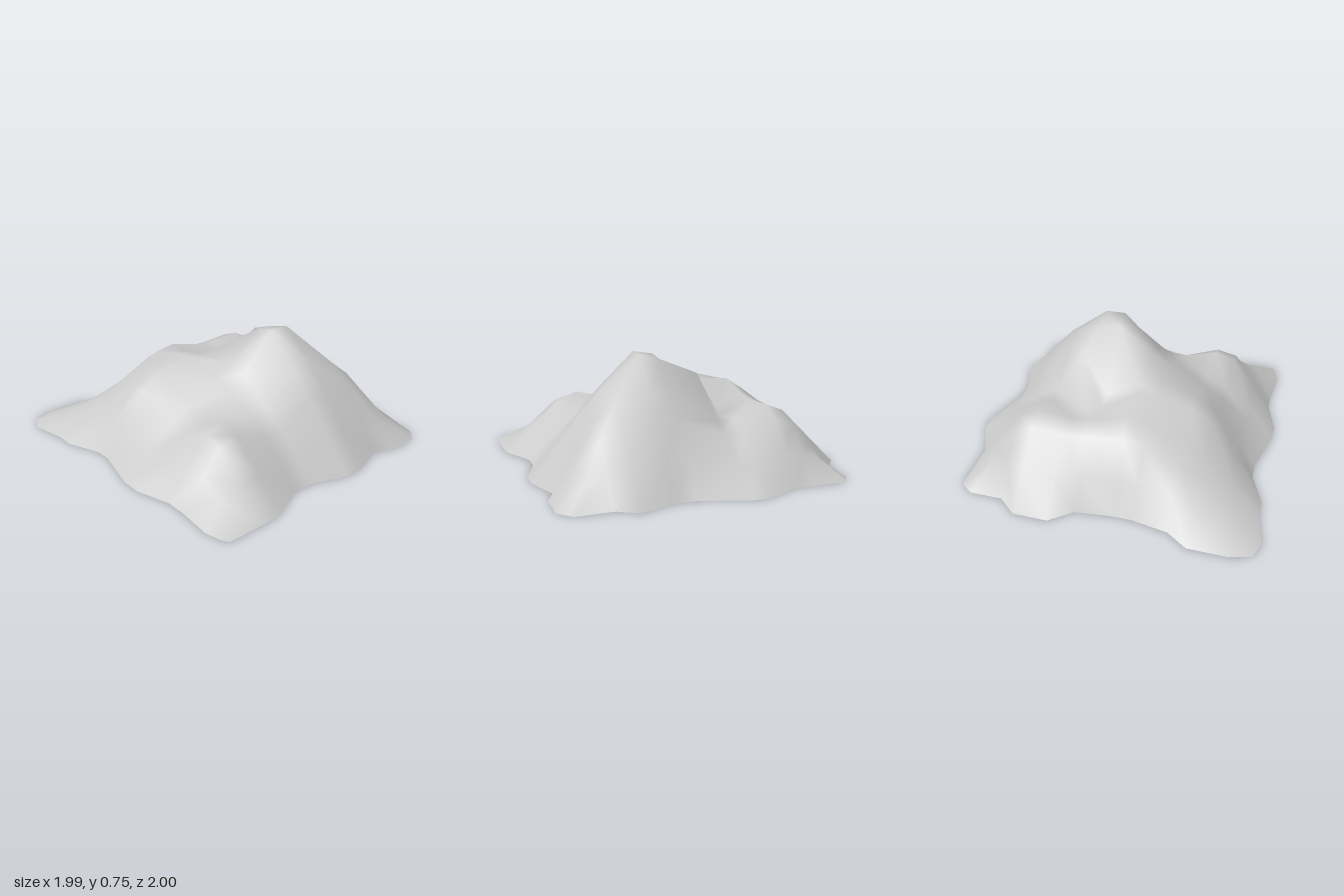
import * as THREE from 'three';

// Coarse control lattice of the mountain: plan positions and heights
const CX = [-0.94, -0.56, -0.22, 0.2, 0.55, 0.93];
const CZ = [-0.93, -0.55, -0.2, 0.15, 0.52, 0.92];
const H = [
  [0, 0, 0, 0, 0, 0],
  [0, 0.45, 0.32, 0.5, 0.47, 0],
  [0, 0.43, 0.29, 0.87, 0.52, 0],
  [0, 0.49, 0.55, 0.5, 0.27, 0],
  [0, 0.28, 0.48, 0.28, 0.44, 0],
  [0, 0, 0, 0, 0, 0],
];

// Mesh columns and rows: two lines beside each lattice line bevel its corners
const X = [0, -0.84, -0.62, -0.5, -0.28, -0.17, 0.13, 0.26, 0.49, 0.61, 0.84, 0];
const Z = [0, -0.82, -0.61, -0.49, -0.27, -0.14, 0.09, 0.22, 0.45, 0.58, 0.83, 0];

// Wavy outline of the foot on the four sides
const BACK = [-0.86, -0.9, -0.9, -0.9, -1, -1, -0.9, -0.9, -0.975, -0.9, -0.9, -0.87];
const FRONT = [0.96, 1, 0.95, 0.95, 0.86, 0.86, 0.93, 0.93, 0.86, 0.86, 0.88, 0.86];
const LEFT = [-0.86, -0.9, -0.9, -1, -1, -0.89, -0.86, -0.86, -0.9, -0.99, -0.99, -0.95];
const RIGHT = [0.87, 0.92, 0.92, 0.87, 0.95, 0.95, 0.87, 0.87, 0.98, 0.99, 0.99, 0.94];
const LAST = 11;

// Rocky shoulder beside the summit, on column 5 and row 4
const SHOULDER = new THREE.Vector3(-0.1, 0.62, -0.32);

// Lattice cell and fraction along one axis
function locate(line, v) {
  let k = 0;
  while (k < line.length - 2 && v > line[k + 1]) k++;
  return [k, THREE.MathUtils.clamp((v - line[k]) / (line[k + 1] - line[k]), 0, 1)];
}

function height(x, z) {
  const [i, u] = locate(CX, x), [j, v] = locate(CZ, z);
  const { lerp } = THREE.MathUtils;
  return lerp(lerp(H[j][i], H[j][i + 1], u), lerp(H[j + 1][i], H[j + 1][i + 1], u), v);
}

function point(i, j) {
  const edgeX = i === 0 || i === LAST, edgeZ = j === 0 || j === LAST;
  // Foot outline
  if (edgeX || edgeZ) {
    const x = i === 0 ? LEFT[j] : i === LAST ? RIGHT[j] : X[i];
    const z = j === 0 ? BACK[i] : j === LAST ? FRONT[i] : Z[j];
    return new THREE.Vector3(x, 0, z);
  }
  // Lower slope ring, halfway between the outline and the upper slopes
  const ringX = i === 1 || i === LAST - 1, ringZ = j === 1 || j === LAST - 1;
  if (ringX || ringZ) {
    const step = (k) => (k === 1 ? 1 : k === LAST - 1 ? -1 : 0);
    const p = point(i - step(i), j - step(j)).lerp(point(i + step(i), j + step(j)), 0.5);
    if (ringX && ringZ) p.y *= 0.75;
    return p;
  }
  // Upper slopes and summits
  if (i === 5 && j === 4) return SHOULDER.clone();
  return new THREE.Vector3(X[i], height(X[i], Z[j]), Z[j]);
}

export function createModel() {
  const positions = [], index = [], n = LAST + 1;
  for (let j = 0; j < n; j++) {
    for (let i = 0; i < n; i++) {
      positions.push(...point(i, j).toArray());
      if (i < LAST && j < LAST) {
        const a = j * n + i, b = a + 1, c = a + n, d = c + 1;
        index.push(a, c, b, b, c, d);
      }
    }
  }
  const geometry = new THREE.BufferGeometry();
  geometry.setAttribute('position', new THREE.Float32BufferAttribute(positions, 3));
  geometry.setIndex(index);
  geometry.computeVertexNormals();

  // Open shell, visible from above and below
  const mountain = new THREE.Mesh(
    geometry,
    new THREE.MeshStandardMaterial({ color: 0xcccccc, side: THREE.DoubleSide })
  );
  mountain.name = 'mountain';
  const group = new THREE.Group();
  group.name = 'mountainTerrain';
  group.add(mountain);
  return group;
}
